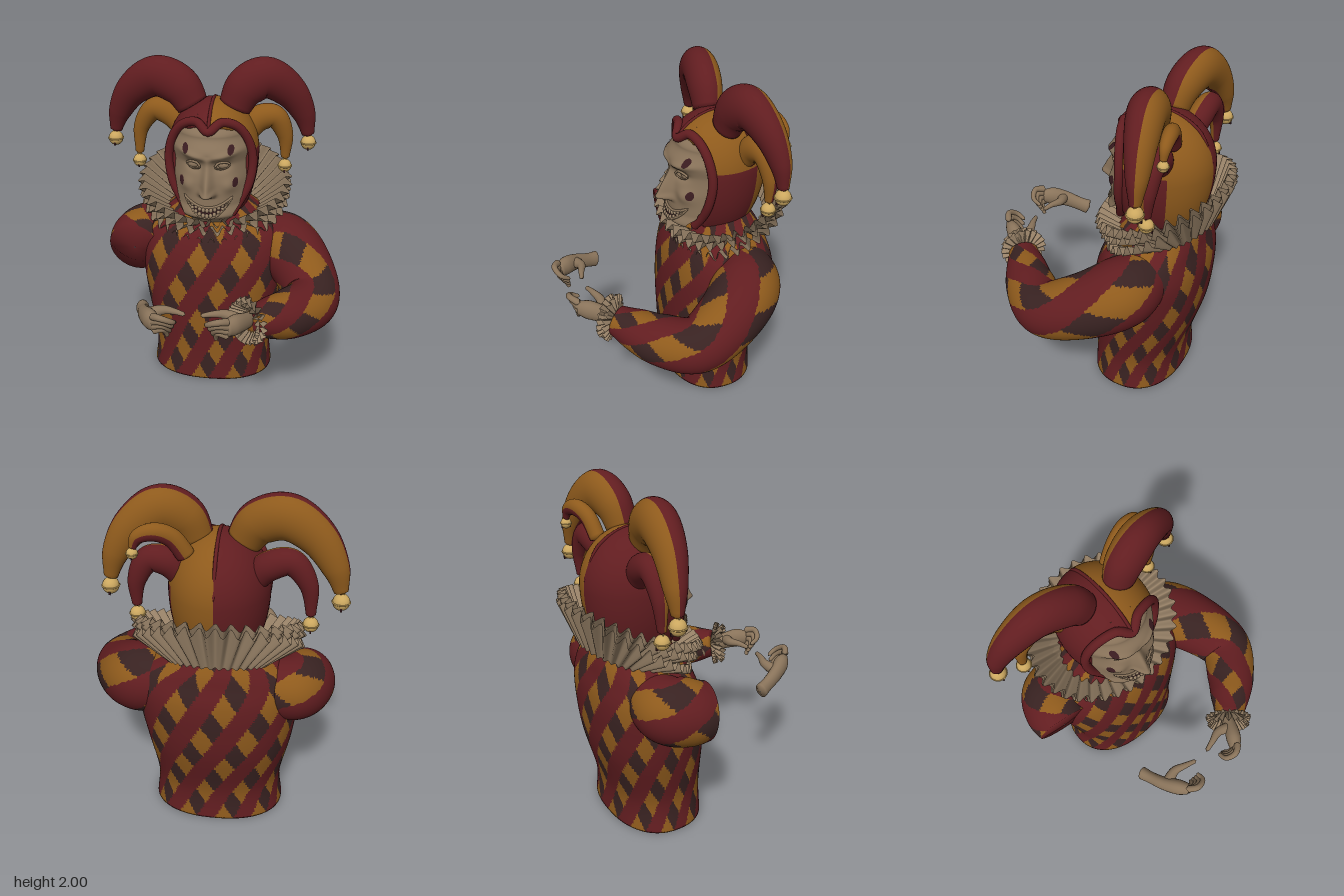
import * as THREE from 'three';
import { ParametricGeometry } from 'three/addons/geometries/ParametricGeometry.js';

const V = (x, y, z) => new THREE.Vector3(x, y, z);
const mat = (name, color, side = THREE.FrontSide) => Object.assign(new THREE.MeshStandardMaterial({ color, side }), { name });
const CX = -0.06; // body centre line

export function createModel() {
  const root = new THREE.Group();
  root.name = 'jesterBust';
  const red = mat('deep red cloth', 0x611d20), gold = mat('ochre cloth', 0x8e5a1c), dark = mat('dark brown cloth', 0x382221);
  const skin = mat('skin', 0x89735a), linen = mat('linen', 0x968066, THREE.DoubleSide), brass = mat('brass', 0xcba75f);
  const spotMat = mat('face paint', 0x3a1c20), cloth = [red, gold, dark];

  const add = (name, geo, material, parent = root) => {
    const m = new THREE.Mesh(geo, material);
    m.name = name;
    parent.add(m);
    return m;
  };

  // Sort triangles into material groups: rule(u, v, centroid) gives the index
  function paint(geo, rule) {
    const id = geo.index.array, p = geo.attributes.position, t = geo.attributes.uv, bins = [[], [], []];
    const c = V(), q = V();
    for (let i = 0; i < id.length; i += 3) {
      let u = 0, v = 0;
      c.set(0, 0, 0);
      for (let k = 0; k < 3; k++) {
        c.add(q.fromBufferAttribute(p, id[i + k]));
        u += t.getX(id[i + k]) / 3;
        v += t.getY(id[i + k]) / 3;
      }
      bins[rule(u, v, c.divideScalar(3))].push(id[i], id[i + 1], id[i + 2]);
    }
    geo.setIndex(bins.flat());
    let start = 0;
    bins.forEach((b, i) => { if (b.length) geo.addGroup(start, b.length, i); start += b.length; });
    return geo;
  }
  // Lozenges: red diagonals, ochre and brown alternating between them
  const harlequin = (u, v) => (Math.floor(u + v) & 1 ? 0 : Math.floor(u - v) & 1 ? 2 : 1);

  // Tapered tube along a spline; u runs around it, v along it
  function sweep(pts, radii, ref, nu = 12, nv = 16, cap = 0.06, tall = 1) {
    const curve = new THREE.CatmullRomCurve3(pts.map(a => V(...a)));
    const rad = new THREE.SplineCurve(radii.map((r, i) => new THREE.Vector2(i, r)));
    return new ParametricGeometry((u, v, out) => {
      const T = curve.getTangent(v), S = T.clone().cross(ref).normalize(), N = T.clone().cross(S);
      const e = Math.max(0, 1 - Math.min(v, 1 - v) / cap);
      const r = rad.getPoint(v).y * Math.max(0.02, Math.sqrt(1 - e * e)), a = u * Math.PI * 2;
      out.copy(curve.getPoint(v)).addScaledVector(S, r * Math.cos(a)).addScaledVector(N, tall * r * Math.sin(a));
    }, nu, nv);
  }
  const Y = V(0, 1, 0), Z = V(0, 0, 1);

  // Torso: [y, centre x, half width, centre z, half depth]
  const rows = [[0, -.057, .005, -.225, .005], [0, -.057, .385, -.225, .275], [.2, -.055, .37, -.225, .272], [.5, -.06, .42, -.26, .31],
    [.7, -.055, .45, -.275, .315], [.85, -.05, .46, -.285, .3], [.96, -.05, .43, -.29, .265], [1.04, -.055, .34, -.3, .23], [1.15, -.06, .2, -.31, .16]];
  const torso = new ParametricGeometry((u, v, out) => {
    const f = v * (rows.length - 1), i = Math.min(rows.length - 2, Math.floor(f)), k = f - i;
    const cat = j => { // Catmull-Rom through the rows above the base
      const p1 = rows[i][j], p2 = rows[i + 1][j];
      if (i === 0) return p1 + (p2 - p1) * k;
      const p0 = rows[Math.max(1, i - 1)][j], p3 = rows[Math.min(rows.length - 1, i + 2)][j];
      return p1 + 0.5 * k * (p2 - p0 + k * (2 * p0 - 5 * p1 + 4 * p2 - p3 + k * (3 * (p1 - p2) + p3 - p0)));
    };
    const a = u * Math.PI * 2, s = Math.sin(a), c = Math.cos(a), n = 1 / Math.pow(Math.abs(s) ** 2.3 + Math.abs(c) ** 2.3, 1 / 2.3);
    out.set(cat(1) + cat(2) * s * n, cat(0), cat(3) + cat(4) * c * n);
  }, 198, 104);
  add('torso', paint(torso, (u, v, c) => (v < 0.125 ? harlequin(c.x / .1, c.z / .1) : harlequin(-u * 22, c.y / .21))), cloth);

  // Sleeves: a full left one, and a short right one cut above the elbow
  add('leftSleeve', paint(sweep([[.2, .88, -.34], [.38, .84, -.28], [.515, .76, -.1], [.57, .69, .12], [.455, .695, .29], [.35, .72, .39], [.25, .75, .48]],
    [.16, .2, .185, .16, .145, .12, .085], Y, 78, 110, .015), (u, v) => harlequin(u * 6, v * 5)), cloth);
  add('rightSleeve', paint(sweep([[-.32, .88, -.34], [-.47, .86, -.32], [-.525, .845, -.23], [-.54, .83, -.13]],
    [.16, .185, .185, .165], Y, 72, 50, .02), (u, v) => (v > .98 ? 0 : harlequin(u * 6, v * 2.4 + .4))), cloth);

  // Pleated ring around local y: (r0,h0) inner edge to (r1,h1) outer edge; back raises the rear rim
  const pleats = (r0, h0, r1, h1, n, amp, phase, kx = 1, back = 0) => new ParametricGeometry((u, v, out) => {
    const a = u * Math.PI * 2, w = amp * (0.25 + 0.75 * v) * Math.sin(n * a + phase);
    const len = Math.hypot(r1 - r0, h1 - h0);
    const r = r0 + (r1 - r0) * v - w * (h1 - h0) / len;
    const h = h0 + (h1 - h0 + back * (1 - Math.cos(a)) / 2) * v + w * (r1 - r0) / len;
    out.set(r * kx * Math.sin(a), h, r * Math.cos(a));
  }, n * 8, 4);

  // Neck ruff, tilted up towards the back
  const ruff = new THREE.Group();
  ruff.name = 'neckRuff';
  ruff.position.set(CX, 1.18, -.34);
  ruff.rotation.x = .4;
  root.add(ruff);
  [[.2, -.13, .385, .085, 0], [.2, -.12, .385, .01, .07], [.22, -.15, .385, -.085, .14]].forEach(([r0, h0, r1, h1, b]) =>
    add('ruffLayer', pleats(r0, h0, r1, h1, 36, .026, 0, 1.18, b), linen, ruff));

  // Wrist ruffle on the left sleeve
  const cuff = new THREE.Group();
  cuff.name = 'leftCuff';
  cuff.position.set(.255, .75, .465);
  cuff.quaternion.setFromUnitVectors(Y, V(-.65, .05, .72).normalize());
  root.add(cuff);
  [[.135, .03], [.12, .075]].forEach(([r, h], i) => add('cuffFrill', pleats(.05, 0, r, h, 20, .014, i * 2), linen, cuff));

  // Hands, mirrored about the centre line
  for (const s of [1, -1]) {
    const hand = new THREE.Group();
    hand.name = s > 0 ? 'leftHand' : 'rightHand';
    root.add(hand);
    const m = pts => pts.map(([x, y, z]) => [s > 0 ? x : 2 * CX - x, y, z]);
    add('palm', sweep(m([[.26, .715, .375], [.24, .735, .44], [.212, .765, .52], [.165, .79, .6], [.125, .795, .655]]),
      [.038, .034, .038, .044, .032], Y, 20, 28, .04, 1.35), skin, hand);
    add('thumb', sweep(m([[.2, .78, .54], [.12, .8, .515], [.05, .81, .535], [-.02, .805, .556]]), [.036, .027, .018, .012], Y), skin, hand);
    for (let k = 0; k < 4; k++) {
      const d = .031 * k, q = .014 * k;
      add('finger', sweep(m([[.15, .84 - d, .645], [.09, .855 - d, .685 - q], [.035 + q, .825 - d, .665 - q], [.03 + q, .79 - d, .61]]),
        [.021, .018, .015, .011], V(.2, 1, .3).normalize()), skin, hand);
    }
  }

  // Face surface: depth at (x from centre line, y)
  const table = (list, y) => {
    let i = 0;
    while (i < list.length - 2 && y > list[i + 1][0]) i++;
    const [a, p] = list[i], [b, q] = list[i + 1];
    return p + (q - p) * THREE.MathUtils.smoothstep(y, a, b);
  };
  const width = [[1.07, .1], [1.13, .145], [1.2, .18], [1.3, .222], [1.45, .236], [1.58, .207], [1.66, .15], [1.71, .07]];
  const depth = [[1.07, -.06], [1.14, .022], [1.2, .004], [1.33, 0], [1.44, -.012], [1.51, .005], [1.6, -.035], [1.71, -.12]];
  const bump = (x, y, cx, cy, sx, sy) => Math.exp(-(((x - cx) / sx) ** 2) - ((y - cy) / sy) ** 2);
  function faceZ(x, y) {
    const a = Math.abs(x), t = THREE.MathUtils.clamp((1.5 - y) / .22, 0, 1);
    const nose = .095 * t ** 1.1 * Math.exp(-((a / (.02 + .016 * t)) ** 2)) * THREE.MathUtils.smoothstep(y, 1.245, 1.285);
    return table(depth, y) - .15 * (a / .22) ** 2.4 + nose + .018 * bump(a, y, .03, 1.285, .018, .018)
      - .028 * bump(a, y, .083, 1.44, .045, .03) + .018 * bump(a, y, .09, 1.5 + .2 * (a - .08), .08, .02)
      + .022 * bump(a, y, .13, 1.32, .045, .045);
  }
  const head = new THREE.Group();
  head.name = 'head';
  head.position.x = CX;
  root.add(head);
  add('face', new ParametricGeometry((u, v, out) => {
    const y = 1.07 + .64 * v, x = (2 * u - 1) * table(width, y);
    out.set(x, y, faceZ(x, y));
  }, 60, 76), skin, head);
  add('neck', new THREE.CylinderGeometry(.13, .16, .3, 32).translate(0, 1.1, -.27), skin, head);
  const onFace = (pts, lift) => pts.map(([x, y]) => [x, y, faceZ(x, y) + lift]);

  // Grin: dark crescent, two rows of teeth, lips
  const top = x => 1.192 + .055 * (x / .14) ** 2, low = x => 1.13 + .115 * (x / .14) ** 2;
  add('mouth', new ParametricGeometry((u, v, out) => {
    const x = (2 * u - 1) * .14, y = low(x) + (top(x) - low(x)) * v;
    out.set(x, y, faceZ(x, y) + .004);
  }, 32, 4), spotMat, head);
  for (const f of [.27, .75]) for (let i = -5; i <= 5; i++) {
    const x = i * .022, y = low(x) + (top(x) - low(x)) * f, h = (top(x) - low(x)) * .46;
    const tooth = add('tooth', new THREE.SphereGeometry(.5, 10, 8), linen, head);
    tooth.scale.set(.023, h * 1.1, .02);
    tooth.position.set(x, y, faceZ(x, y) + .004);
    tooth.rotation.y = x * 4;
  }
  const arc = [-.145, -.1, -.05, 0, .05, .1, .145];
  for (const f of [top, low]) add('lip', sweep(onFace(arc.map(x => [x, f(x)]), .002), arc.map(() => .008), Z, 8, 32), skin, head);

  for (const s of [1, -1]) {
    // Eyes with lids
    const eye = add('eye', new THREE.SphereGeometry(1, 20, 14), skin, head);
    eye.scale.set(.036, .022, .02);
    eye.position.set(s * .083, 1.44, faceZ(.083, 1.44) + .002);
    for (const [h, r] of [[.024, .007], [-.02, .005]])
      add('eyelid', sweep(onFace([[.04, 1.435], [.06, 1.44 + h * .8], [.085, 1.441 + h], [.11, 1.443 + h * .7], [.128, 1.447]].map(([x, y]) => [s * x, y]), .012),
        [r, r, r, r, r], Z, 8, 18), skin, head);
    // Painted marks above and below the eyes
    for (const [x, y, w, h] of [[.13, 1.538, .018, .026], [.156, 1.338, .015, .028]]) {
      const geo = new THREE.CircleGeometry(1, 24), p = geo.attributes.position;
      for (let i = 0; i < p.count; i++) {
        const px = s * x + p.getX(i) * w, py = y + p.getY(i) * h;
        p.setXYZ(i, px, py, faceZ(px, py) + .005);
      }
      geo.computeVertexNormals();
      add('faceMark', geo, spotMat, head);
    }
  }

  // Hood: dome kept behind the face opening
  const hood = new THREE.SphereGeometry(1, 64, 44), hp = hood.attributes.position;
  for (let i = 0; i < hp.count; i++) {
    const y = 1.45 + hp.getY(i) * (hp.getY(i) > 0 ? .315 : .5);
    const limit = -.14 + .17 * THREE.MathUtils.smoothstep(y, 1.6, 1.7);
    hp.setXYZ(i, hp.getX(i) * .272, y, Math.min(limit, -.282 + hp.getZ(i) * .3));
  }
  hood.computeVertexNormals();
  add('hood', paint(hood, (u, v, c) => (c.x < 0 ? 0 : c.y > 1.495 || u > 37 / 64 ? 1 : 0)), cloth, head);
  const edge = [[.12, 1.1, -.09], [.175, 1.19, -.12], [.228, 1.3, -.135], [.247, 1.45, -.145], [.215, 1.58, -.13], [.15, 1.66, -.105], [.07, 1.68, -.08]];
  const brim = [...edge, [0, 1.635, -.04], ...edge.map(([x, y, z]) => [-x, y, z]).reverse()];
  add('hoodBrim', sweep(brim, brim.map(() => .026), Z, 12, 80, .01), red, head);
  add('crownSeam', sweep([[0, 1.65, -.05], [0, 1.715, -.12], [0, 1.764, -.28], [0, 1.69, -.48], [0, 1.5, -.578]], [.01, .01, .01, .01, .01], V(1, 0, 0), 8, 40), red, head);

  // Bell: ball, band, slot and hanging ring
  function bell(x, y, z, r) {
    const g = new THREE.Group();
    g.name = 'bell';
    g.position.set(x, y, z);
    root.add(g);
    add('bellBall', new THREE.SphereGeometry(r, 20, 14), brass, g);
    add('bellBand', new THREE.TorusGeometry(r, r * .1, 6, 28).rotateX(Math.PI / 2), brass, g);
    add('bellRing', new THREE.TorusGeometry(r * .3, r * .1, 6, 12).translate(0, r * 1.2, 0), brass, g);
    add('bellSlot', new THREE.BoxGeometry(r * .2, r * .75, r * 1.8).translate(0, -r * .5, 0), spotMat, g);
  }

  // Hat horns: two-tone, each ending in a bell
  const frontRed = u => (u > .05 && u < .45 ? 1 : 0), frontGold = u => (u > .5 ? 1 : 0), topGold = u => (Math.abs(u - .5) < .25 ? 1 : 0);
  const big = [.095, .118, .12, .1, .07, .035], small = [.07, .078, .07, .05, .025];
  const horns = [
    ['rightLargeHorn', [[-.175, 1.7, -.28], [-.26, 1.82, -.3], [-.4, 1.865, -.33], [-.55, 1.78, -.36], [-.65, 1.63, -.39], [-.69, 1.49, -.4]], big, frontRed, [-.69, 1.45, -.4, .045], .82],
    ['leftLargeHorn', [[.055, 1.7, -.28], [.125, 1.83, -.295], [.235, 1.88, -.32], [.37, 1.8, -.36], [.46, 1.66, -.39], [.497, 1.51, -.4]], big, frontRed, [.497, 1.475, -.4, .045], .82],
    ['rightSmallHorn', [[-.24, 1.53, -.36], [-.32, 1.62, -.38], [-.43, 1.65, -.39], [-.52, 1.54, -.4], [-.545, 1.35, -.4]], small, frontGold, [-.545, 1.31, -.4, .041], .9],
    ['leftSmallHorn', [[.12, 1.53, -.36], [.2, 1.62, -.38], [.29, 1.63, -.39], [.355, 1.52, -.4], [.363, 1.36, -.4]], small, frontGold, [.362, 1.32, -.4, .041], .9],
    ['rearHorn', [[.09, 1.66, -.41], [.165, 1.77, -.43], [.25, 1.805, -.455], [.33, 1.78, -.47], [.357, 1.72, -.475]], [.05, .05, .047, .036, .02], topGold, [.357, 1.695, -.475, .03], .85],
  ];
  for (const [name, pts, radii, rule, b, tall] of horns) {
    add(name, paint(sweep(pts, radii, Z, 40, 40, .03, tall), rule), cloth);
    bell(...b);
  }
  return root;
}
